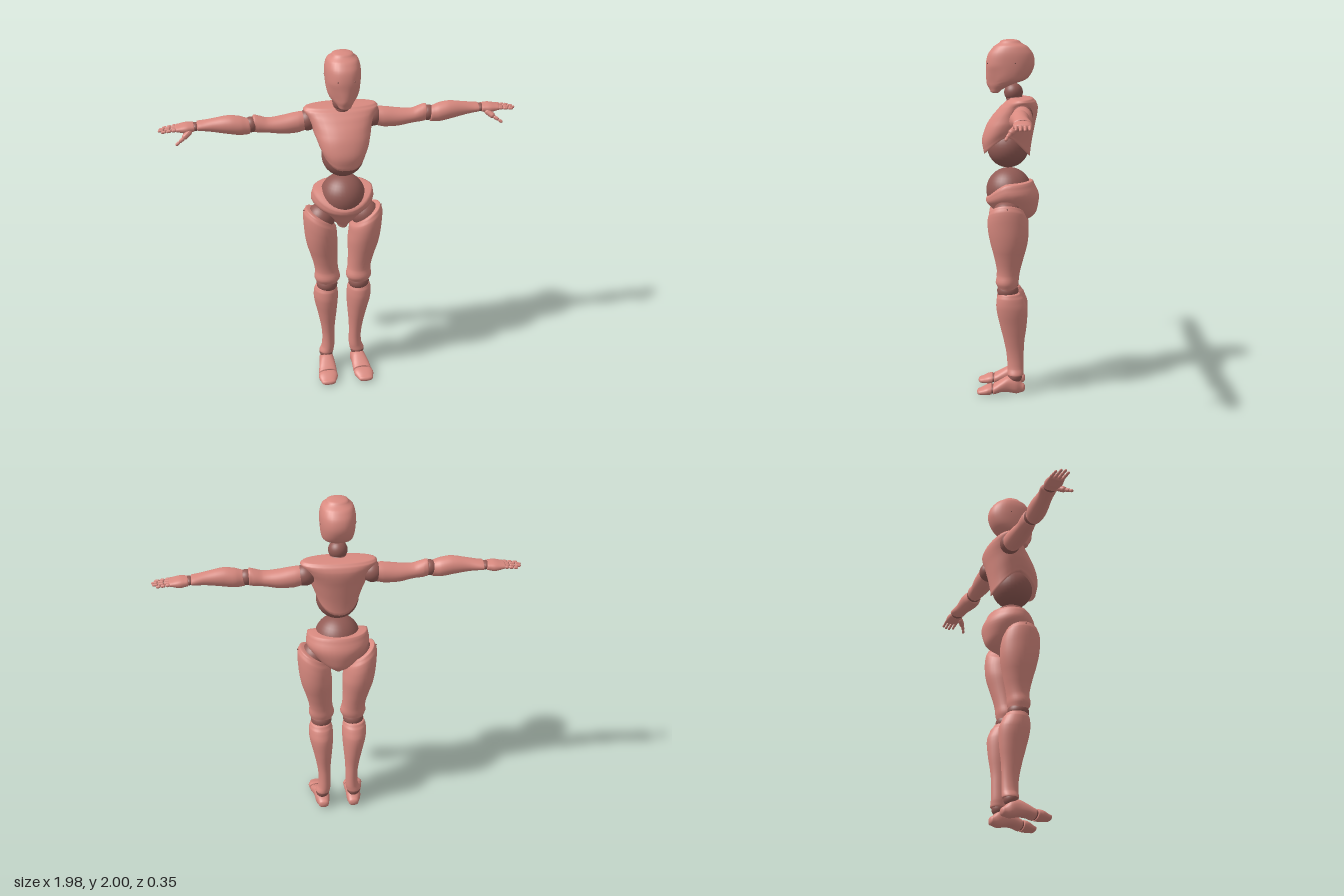
import * as THREE from 'three';

const skin = new THREE.MeshStandardMaterial({ color: 0xd98a80 });
skin.name = 'salmon shell';
const dark = new THREE.MeshStandardMaterial({ color: 0x925b55 });
dark.name = 'dark joint';

// Smooth loft through rows [t, uMin, uMax, vMin, vMax] along an axis, with rounded ends.
// Axis y: u = x, v = z.  Axis x: u = y, v = z.  Axis z: u = x, v = y.
function loft(rows, { axis = 'y', caps = [0.01, 0.01], power = 2, warp, steps = 4, sides = 32 } = {}) {
  const rings = [];
  const at = (i) => rows[Math.max(0, Math.min(rows.length - 1, i))];
  for (let i = 0; i < rows.length - 1; i++) {
    for (let s = 0; s < steps; s++) {
      const f = s / steps;
      rings.push(at(i).map((p1, k) => {
        const p0 = at(i - 1)[k], p2 = at(i + 1)[k], p3 = at(i + 2)[k];
        if (k === 0) return p1 + (p2 - p1) * f;
        return 0.5 * (2 * p1 + (p2 - p0) * f + (2 * p0 - 5 * p1 + 4 * p2 - p3) * f * f
          + (3 * p1 - p0 - 3 * p2 + p3) * f * f * f);
      }));
    }
  }
  rings.push([...at(rows.length - 1)]);
  // rounded caps: shrink the end ring along a quarter arc
  const shrink = (r, angle, depth) => {
    const c = Math.cos(angle), mu = (r[1] + r[2]) / 2, mv = (r[3] + r[4]) / 2;
    return [r[0] + depth * Math.sin(angle), mu + (r[1] - mu) * c, mu + (r[2] - mu) * c,
      mv + (r[3] - mv) * c, mv + (r[4] - mv) * c];
  };
  const first = rings[0], last = rings[rings.length - 1];
  for (let k = 1; k <= 5; k++) {
    const a = k === 5 ? 1.565 : k * Math.PI / 10;
    rings.unshift(shrink(first, a, -caps[0]));
    rings.push(shrink(last, a, caps[1]));
  }
  const pos = [], index = [], p = new THREE.Vector3();
  const soft = (c) => Math.sign(c) * Math.pow(Math.abs(c), 2 / power);
  for (const [t, u0, u1, v0, v1] of rings) {
    for (let j = 0; j < sides; j++) {
      const a = j / sides * Math.PI * 2;
      const u = (u0 + u1) / 2 + (u1 - u0) / 2 * soft(Math.cos(a));
      const v = (v0 + v1) / 2 + (v1 - v0) / 2 * soft(Math.sin(a));
      if (axis === 'y') p.set(u, t, v);
      else if (axis === 'x') p.set(t, u, v);
      else p.set(u, v, t);
      if (warp) warp(p);
      pos.push(p.x, p.y, p.z);
    }
  }
  for (let i = 0; i < rings.length - 1; i++) {
    for (let j = 0; j < sides; j++) {
      const a = i * sides + j, b = i * sides + (j + 1) % sides, c = a + sides, d = b + sides;
      if (axis === 'y') index.push(a, c, b, b, c, d);
      else index.push(a, b, c, b, d, c);
    }
  }
  const g = new THREE.BufferGeometry();
  g.setAttribute('position', new THREE.Float32BufferAttribute(pos, 3));
  g.setIndex(index);
  g.computeVertexNormals();
  return g;
}

const ball = (r, x, y, z, sx = 1, sy = 1, sz = 1) =>
  new THREE.SphereGeometry(r, 32, 20).scale(sx, sy, sz).translate(x, y, z);

// Tapered rounded segment between two points, for the finger bones
function bone(a, b, r) {
  const from = new THREE.Vector3(...a), dir = new THREE.Vector3(...b).sub(from), len = dir.length();
  const g = new THREE.CapsuleGeometry(r, Math.max(len - 2 * r, 0.001), 5, 12).translate(0, len / 2, 0);
  g.applyQuaternion(new THREE.Quaternion().setFromUnitVectors(new THREE.Vector3(0, 1, 0), dir.normalize()));
  return g.translate(...a);
}

function mirrored(g) {
  const m = g.clone().scale(-1, 1, 1), ix = m.index.array;
  for (let i = 0; i < ix.length; i += 3) [ix[i], ix[i + 1]] = [ix[i + 1], ix[i]];
  m.computeVertexNormals();
  return m;
}

const clamp = THREE.MathUtils.clamp, lerp = THREE.MathUtils.lerp;

export function createModel() {
  const model = new THREE.Group();
  model.name = 'jointedFigure';
  const add = (name, g, mat = skin) => {
    const m = new THREE.Mesh(g, mat);
    m.name = name;
    model.add(m);
  };
  const pair = (name, g, mat = skin) => {
    add(name + 'Left', g, mat);
    add(name + 'Right', mirrored(g), mat);
  };

  // Head: deep cranium narrowing to a pointed jaw in front
  add('head', loft([
    [1.715, -0.045, 0.045, 0.045, 0.098], [1.75, -0.07, 0.07, -0.02, 0.116],
    [1.78, -0.084, 0.084, -0.10, 0.121], [1.82, -0.091, 0.091, -0.132, 0.122],
    [1.87, -0.095, 0.095, -0.147, 0.122], [1.92, -0.094, 0.094, -0.138, 0.110],
    [1.96, -0.083, 0.083, -0.108, 0.08], [1.985, -0.058, 0.058, -0.068, 0.045],
  ], {
    caps: [0.012, 0.015], power: 2.3,
    warp: (p) => { p.x *= 1 - 0.5 * clamp((p.z - 0.03) / 0.09, 0, 1) * clamp((1.85 - p.y) / 0.09, 0, 1); },
  }));
  add('neckBall', ball(0.052, 0, 1.71, -0.03), dark);
  add('neck', loft([[1.62, -0.06, 0.06, -0.12, 0], [1.67, -0.048, 0.048, -0.09, 0.01],
    [1.70, -0.04, 0.04, -0.07, 0.01]]), dark);
  // Small pins at the eyes and temples
  pair('eyePin', ball(0.004, 0.045, 1.87, 0.112), dark);
  pair('templePin', ball(0.004, 0.094, 1.87, -0.04), dark);

  // Chest shell, its lower rim arched at the sides
  add('chest', loft([
    [1.40, -0.125, 0.125, -0.122, 0.135], [1.46, -0.14, 0.14, -0.13, 0.146],
    [1.52, -0.153, 0.153, -0.145, 0.126], [1.58, -0.165, 0.165, -0.16, 0.088],
    [1.63, -0.187, 0.187, -0.165, 0.045], [1.66, -0.206, 0.206, -0.155, 0.012],
    [1.675, -0.195, 0.195, -0.14, -0.01],
  ], {
    caps: [0, 0.008], power: 2.2,
    warp: (p) => {
      const w = clamp((1.55 - p.y) / 0.15, 0, 1);
      const n = Math.pow(Math.min(Math.abs(p.z) / 0.13, 1), 1.4);
      p.y += w * lerp(0.07, p.z > 0 ? -0.03 : -0.055, n);
    },
  }));
  add('ribBall', ball(0.117, 0, 1.407, 0), dark);
  add('waistBall', ball(0.127, 0, 1.163, -0.005), dark);

  // Pelvis shell, its upper rim dipping in front
  add('pelvis', loft([
    [0.975, -0.03, 0.03, -0.08, 0.03], [1.02, -0.075, 0.075, -0.145, 0.062],
    [1.07, -0.13, 0.13, -0.168, 0.095], [1.12, -0.175, 0.175, -0.172, 0.12],
    [1.17, -0.168, 0.168, -0.142, 0.124],
  ], {
    caps: [0.015, 0.008],
    warp: (p) => {
      const w = clamp((p.y - 1.05) / 0.12, 0, 1);
      const n = Math.pow(Math.min(Math.abs(p.z) / 0.13, 1), 1.4);
      p.y += w * lerp(0.035, p.z > 0 ? -0.06 : 0.045, n);
    },
  }));

  // Legs
  pair('hipBall', ball(0.08, 0.125, 1.04, 0.005), dark);
  pair('hipPin', ball(0.004, 0.222, 1.085, 0), dark);
  pair('thigh', loft([
    [0.61, 0.035, 0.15, -0.05, 0.05], [0.65, 0.018, 0.165, -0.06, 0.068],
    [0.70, 0.028, 0.162, -0.066, 0.06], [0.78, 0.032, 0.18, -0.085, 0.072],
    [0.88, 0.03, 0.21, -0.11, 0.096], [0.96, 0.035, 0.222, -0.115, 0.11],
    [1.02, 0.04, 0.224, -0.106, 0.11], [1.05, 0.06, 0.212, -0.09, 0.098],
  ], {
    caps: [0.015, 0.012],
    warp: (p) => { p.y += clamp((p.y - 0.85) / 0.2, 0, 1) * (p.x - 0.13) * 0.6; },
  }));
  pair('kneeBall', ball(0.06, 0.093, 0.603, 0, 1, 0.85, 1), dark);
  pair('shin', loft([
    [0.115, 0.05, 0.135, -0.09, 0.002], [0.15, 0.045, 0.12, -0.09, 0.002], [0.22, 0.045, 0.116, -0.09, 0.006],
    [0.30, 0.043, 0.125, -0.093, 0.02], [0.40, 0.034, 0.145, -0.106, 0.044],
    [0.50, 0.027, 0.166, -0.11, 0.064], [0.56, 0.03, 0.166, -0.088, 0.062],
    [0.585, 0.038, 0.158, -0.07, 0.052],
  ], { caps: [0.01, 0.01] }));
  pair('ankleBall', ball(0.04, 0.094, 0.105, -0.042), dark);
  pair('foot', loft([
    [-0.085, 0.06, 0.12, 0.012, 0.06], [-0.05, 0.052, 0.135, 0.004, 0.095],
    [-0.005, 0.052, 0.14, 0.012, 0.104], [0.04, 0.05, 0.15, 0.014, 0.082],
    [0.08, 0.05, 0.157, 0.004, 0.06],
  ], { axis: 'z', caps: [0.014, 0.005], power: 2.4 }));
  pair('toeJoint', ball(0.028, 0.104, 0.032, 0.085, 1.6, 0.9, 0.8), dark);
  pair('toes', loft([
    [0.093, 0.05, 0.16, 0.003, 0.058], [0.12, 0.052, 0.163, 0.002, 0.052],
    [0.16, 0.07, 0.152, 0.003, 0.034],
  ], { axis: 'z', caps: [0.003, 0.015], power: 2.4 }));

  // Arms
  pair('shoulderBall', ball(0.058, 0.18, 1.595, -0.08), dark);
  pair('upperArm', loft([
    [0.195, 1.54, 1.645, -0.13, -0.03], [0.24, 1.53, 1.643, -0.135, -0.022],
    [0.32, 1.53, 1.63, -0.133, -0.02], [0.40, 1.543, 1.624, -0.122, -0.024],
    [0.45, 1.546, 1.64, -0.12, -0.028], [0.475, 1.55, 1.647, -0.115, -0.032],
  ], { axis: 'x', caps: [0.012, 0.01] }));
  pair('elbowBall', ball(0.043, 0.49, 1.595, -0.07), dark);
  pair('forearm', loft([
    [0.505, 1.545, 1.632, -0.108, -0.022], [0.55, 1.543, 1.646, -0.12, -0.015],
    [0.61, 1.552, 1.654, -0.12, -0.018], [0.70, 1.568, 1.64, -0.118, -0.033],
    [0.775, 1.578, 1.627, -0.13, -0.038],
  ], { axis: 'x', caps: [0.012, 0.01] }));
  pair('wristBall', ball(0.025, 0.79, 1.6, -0.083, 1, 0.9, 1.4), dark);
  pair('palm', loft([
    [0.80, 1.577, 1.62, -0.125, -0.043], [0.84, 1.57, 1.622, -0.132, -0.036],
    [0.89, 1.582, 1.612, -0.127, -0.042],
  ], { axis: 'x', caps: [0.008, 0.01], power: 2.4 }));

  // Fingers: three bones each, drooping slightly
  [[-0.119, 0.965], [-0.097, 0.985], [-0.075, 0.99], [-0.053, 0.975]].forEach(([z, tip], f) => {
    for (let k = 0; k < 3; k++) {
      const step = (tip - 0.89) / 3, x = 0.89 + k * step;
      pair(`finger${f + 1}Bone${k + 1}`, bone([x, 1.598 - k * 0.003, z], [x + step, 1.595 - k * 0.003, z], 0.0095 - k * 0.001));
    }
  });
  // Thumb
  pair('thumbBase', bone([0.815, 1.59, -0.055], [0.86, 1.56, -0.022], 0.016));
  pair('thumbMiddle', bone([0.855, 1.562, -0.024], [0.882, 1.546, -0.01], 0.01));
  pair('thumbTip', bone([0.88, 1.547, -0.011], [0.902, 1.532, -0.002], 0.0085));

  return model;
}
